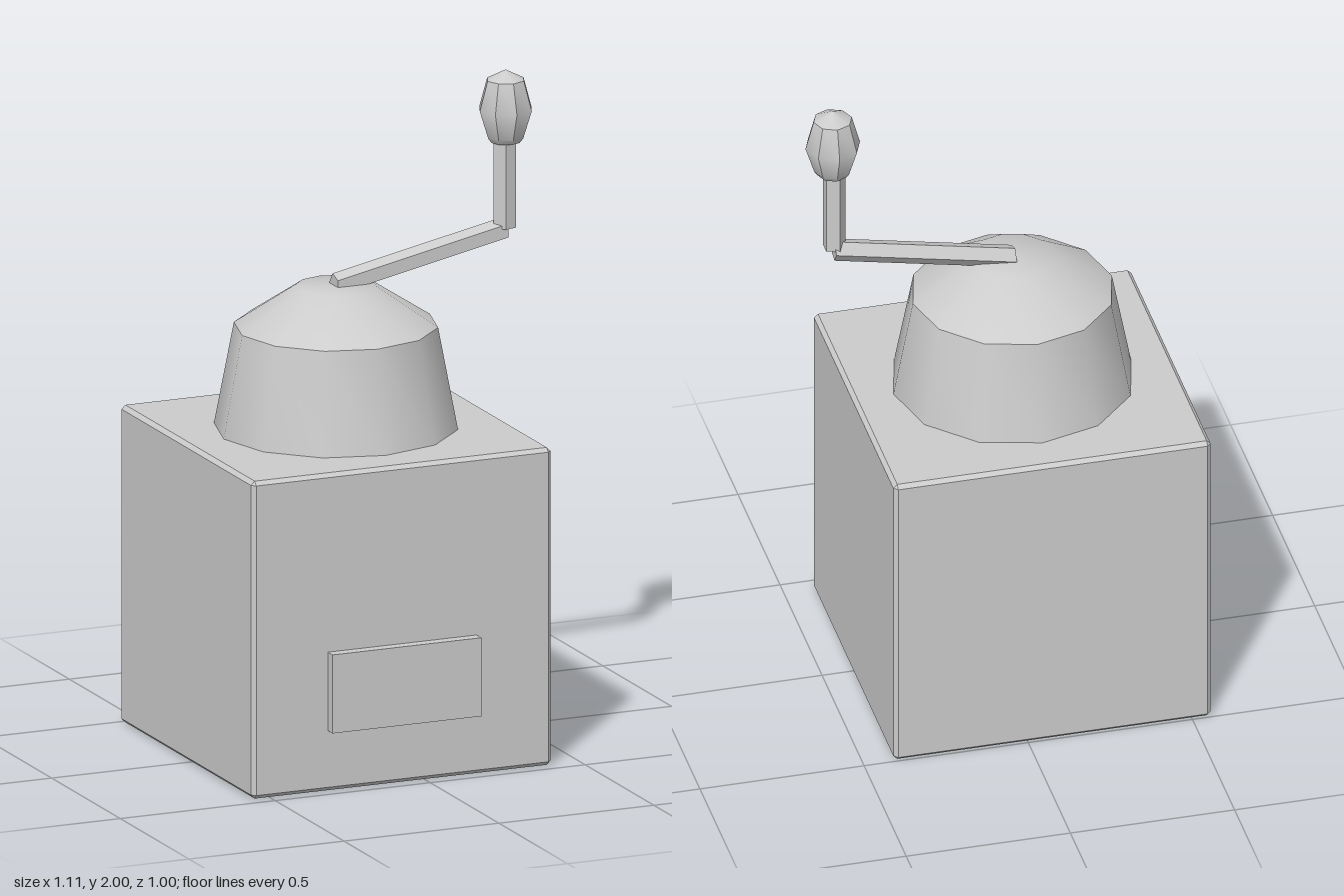
import * as THREE from 'three';
import { toCreasedNormals } from 'three/addons/utils/BufferGeometryUtils.js';
import { ConvexGeometry } from 'three/addons/geometries/ConvexGeometry.js';

const CREASE = 0.65;
const AXIS_X = -0.075, AXIS_Z = -0.017;

// Closed box whose twelve edges are cut by a flat chamfer
function chamferedBox(w, h, d, c) {
  const points = [];
  for (const x of [-1, 1]) for (const y of [-1, 1]) for (const z of [-1, 1]) {
    for (let full = 0; full < 3; full++) {
      const inset = [c, c, c];
      inset[full] = 0;
      points.push(new THREE.Vector3(
        x * (w / 2 - inset[0]), y * (h / 2 - inset[1]), z * (d / 2 - inset[2])));
    }
  }
  return new ConvexGeometry(points);
}

// Turned part from [radius, height] pairs, listed from bottom to top
function turned(profile, sides) {
  const points = profile.map(([r, y]) => new THREE.Vector2(r, y));
  return toCreasedNormals(new THREE.LatheGeometry(points, sides), CREASE);
}

export function createModel() {
  const model = new THREE.Group();
  model.name = 'handGrinder';
  const grey = new THREE.MeshStandardMaterial({ color: 0xcccccc });
  grey.name = 'plain grey';

  const add = (name, geometry, x, y, z) => {
    const mesh = new THREE.Mesh(geometry, grey);
    mesh.name = name;
    mesh.position.set(x, y, z);
    model.add(mesh);
  };

  // Cubic case with a drawer on the front
  add('body', chamferedBox(0.966, 0.97, 0.966, 0.012), AXIS_X, 0.485, AXIS_Z);
  add('drawer', new THREE.BoxGeometry(0.48, 0.24, 0.06), -0.075, 0.305, 0.47);

  // Twelve-sided hopper with a domed lid
  add('hopper', turned([[0.364, 0.96], [0.303, 1.28], [0.12, 1.4], [0, 1.4]], 12), AXIS_X, 0, AXIS_Z);

  // Sloping five-sided crank arm, with its ends cut upright
  const armLength = 0.55, rise = 0.113;
  const arm = new THREE.CylinderGeometry(0.035, 0.035, armLength, 5);
  arm.rotateY(Math.PI).rotateZ(-Math.PI / 2);
  arm.applyMatrix4(new THREE.Matrix4().set(
    1, 0, 0, 0,
    rise / armLength, 1, 0, 0,
    0, 0, 1, 0,
    0, 0, 0, 1));
  add('crankArm', toCreasedNormals(arm, CREASE), 0.195, 1.457, -0.02);

  // Upright post at the end of the arm
  const post = new THREE.CylinderGeometry(0.035, 0.035, 0.28, 5);
  post.rotateY(-Math.PI / 2);
  add('crankPost', toCreasedNormals(post, CREASE), 0.468, 1.66, -0.015);

  // Eight-sided barrel knob
  add('knob', turned([[0, 1.78], [0.045, 1.78], [0.056, 1.795], [0.083, 1.88], [0.058, 1.97], [0, 2]], 8),
    0.472, 0, AXIS_Z);

  return model;
}
